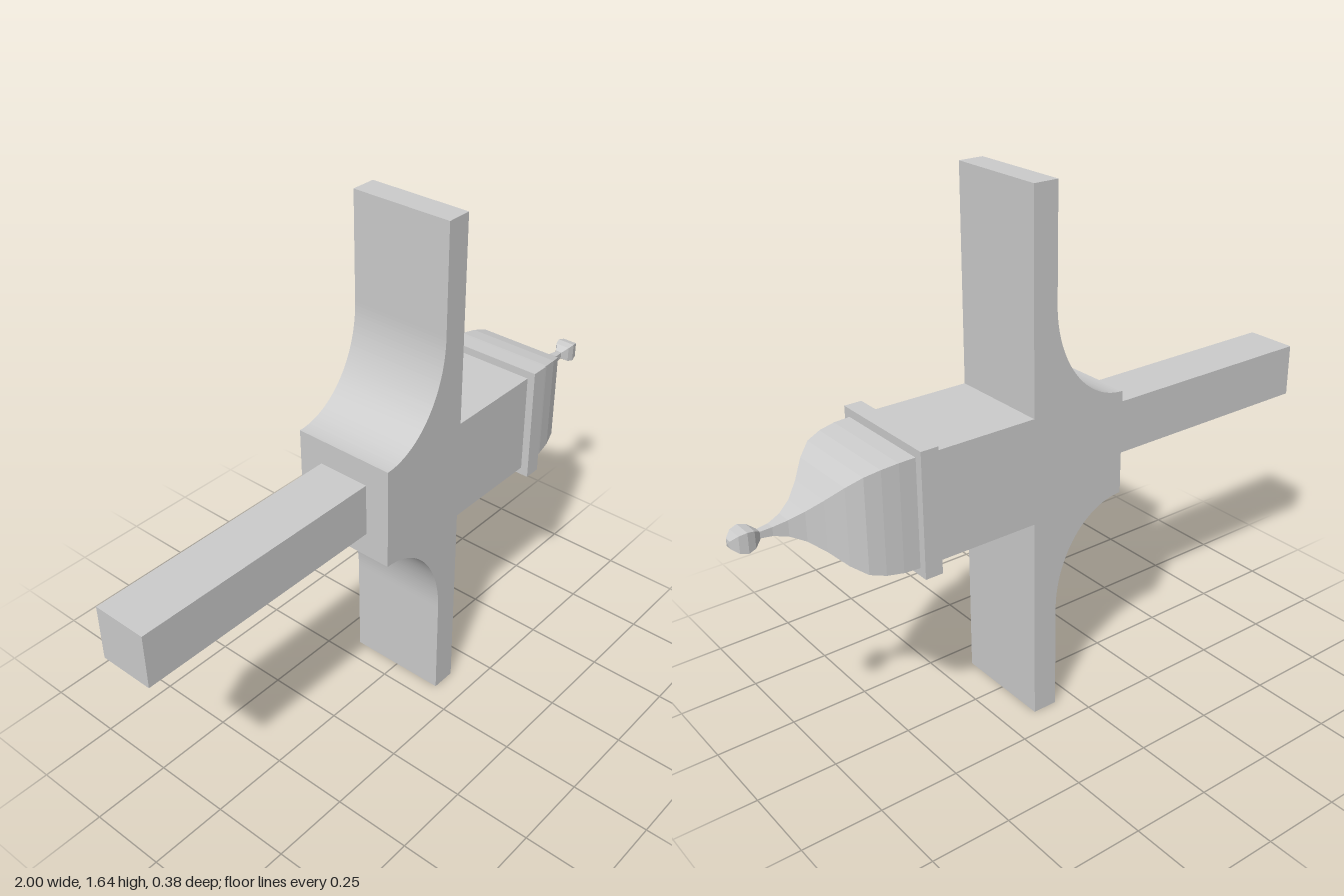
import * as THREE from 'three';

const MID = 0.82; // height of the long axis
const HALF = 0.165; // half thickness of the body

export function createModel() {
  const model = new THREE.Group();
  const material = new THREE.MeshStandardMaterial({ color: 0xcccccc, flatShading: true });

  function add(name, geometry, x = 0) {
    const mesh = new THREE.Mesh(geometry, material);
    mesh.name = name;
    mesh.position.set(x, MID, 0);
    model.add(mesh);
  }

  // Box along the x axis with a square section
  function bar(name, x0, x1, half) {
    add(name, new THREE.BoxGeometry(x1 - x0, half * 2, half * 2), (x0 + x1) / 2);
  }

  // Square-section turned form along x from [x, half width] pairs
  function squareTurned(name, profile) {
    const points = profile.map(([x, r]) => new THREE.Vector2(r * Math.SQRT2, x));
    const geometry = new THREE.LatheGeometry(points, 4, Math.PI / 4);
    geometry.rotateZ(-Math.PI / 2);
    add(name, geometry);
  }

  // Cross-shaped body with curved shoulders flowing into the two arms
  const shape = new THREE.Shape();
  shape.moveTo(-0.18, -HALF);
  shape.absellipse(-0.18, -0.48, 0.245, 0.48 - HALF, Math.PI / 2, 0, true);
  shape.lineTo(0.065, -MID);
  shape.lineTo(0.145, -MID);
  shape.lineTo(0.145, -HALF);
  shape.lineTo(0.48, -HALF);
  shape.lineTo(0.48, HALF);
  shape.lineTo(0.145, HALF);
  shape.lineTo(0.145, MID);
  shape.lineTo(0.065, MID);
  shape.lineTo(0.065, 0.48);
  shape.absellipse(-0.18, 0.48, 0.245, 0.48 - HALF, 0, -Math.PI / 2, true);
  shape.closePath();
  const body = new THREE.ExtrudeGeometry(shape, { depth: HALF * 2, bevelEnabled: false, curveSegments: 24 });
  body.translate(0, 0, -HALF);
  add('crossBody', body);

  // Square shaft and collar
  bar('shaft', -1, -0.18, 0.085);
  bar('collar', 0.48, 0.535, 0.19);

  // Tapering cap, convex then concave
  squareTurned('cap', [
    [0.535, HALF], [0.585, 0.163], [0.635, 0.156], [0.68, 0.143], [0.72, 0.115],
    [0.76, 0.076], [0.8, 0.044], [0.84, 0.024], [0.88, 0.013], [0.92, 0.009],
  ]);

  // Small knob at the tip
  squareTurned('finial', [
    [0.913, 0], [0.915, 0.011], [0.935, 0.025], [0.957, 0.03], [0.98, 0.025], [0.998, 0.011], [1, 0],
  ]);

  return model;
}
